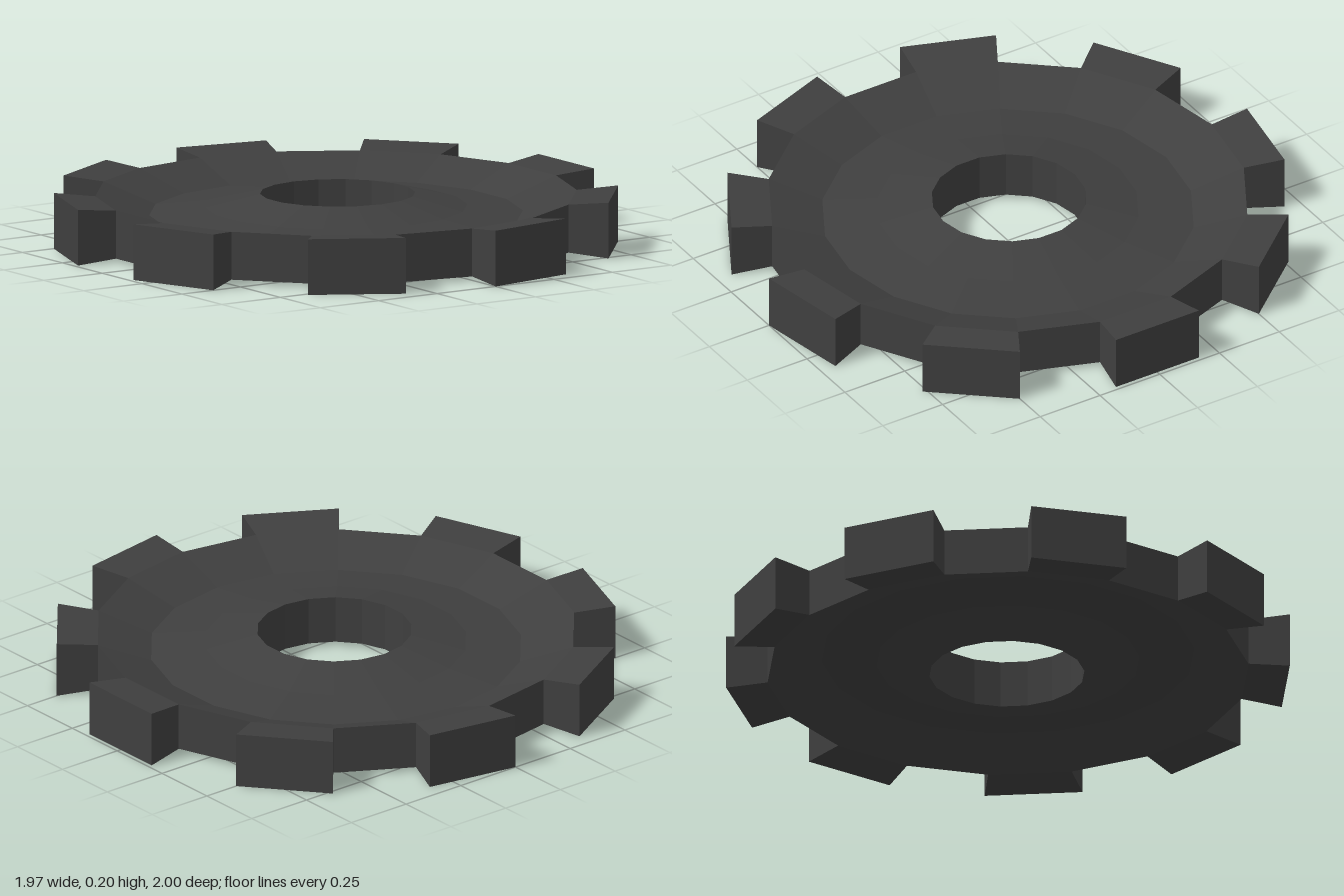
import * as THREE from 'three';

const TEETH = 9;
const HALF = Math.PI / (TEETH * 2); // half the angle of one tooth
const THICK = 0.2, ROOT = 0.853, TIP = 1, HOLE = 0.275;
const ROOT_INSET = 0.014; // rim is slightly thinner than the tooth tips

export function createModel() {
  const group = new THREE.Group();
  group.name = 'gear';

  const darkMetal = new THREE.MeshStandardMaterial({ color: 0x3f3f3f });
  darkMetal.name = 'darkMetal';
  darkMetal.flatShading = true;

  // Dished disc: raised hub and rim with a recess between, same on both faces
  const half = [[HOLE, 0.014], [0.465, 0.06], [0.662, 0.085], [ROOT, ROOT_INSET]];
  const profile = [
    ...half.map(([r, y]) => new THREE.Vector2(r, y)),
    ...half.map(([r, y]) => new THREE.Vector2(r, THICK - y)).reverse(),
    new THREE.Vector2(...half[0]),
  ];
  const discGeometry = new THREE.LatheGeometry(profile, TEETH * 2);
  // The bore sits a touch off centre
  const p = discGeometry.attributes.position;
  for (let i = 0; i < p.count; i++) {
    if (Math.hypot(p.getX(i), p.getZ(i)) < HOLE + 0.01) p.setX(i, p.getX(i) + 0.007);
  }
  const disc = new THREE.Mesh(discGeometry, darkMetal);
  disc.name = 'disc';
  group.add(disc);

  // Tooth: a box flared in width and height from the rim to the tip
  const toothGeometry = new THREE.BoxGeometry(1, 1, 1);
  const t = toothGeometry.attributes.position;
  for (let i = 0; i < t.count; i++) {
    const outer = t.getX(i) > 0;
    const r = outer ? TIP : ROOT;
    const height = outer ? THICK : THICK - 2 * ROOT_INSET;
    t.setXYZ(
      i,
      r * Math.cos(HALF),
      THICK / 2 + t.getY(i) * height,
      Math.sign(t.getZ(i)) * r * Math.sin(HALF)
    );
  }
  toothGeometry.computeVertexNormals();

  for (let k = 0; k < TEETH; k++) {
    const tooth = new THREE.Mesh(toothGeometry, darkMetal);
    tooth.name = `tooth${k + 1}`;
    tooth.rotation.y = (k * 2 * Math.PI) / TEETH;
    group.add(tooth);
  }
  return group;
}
